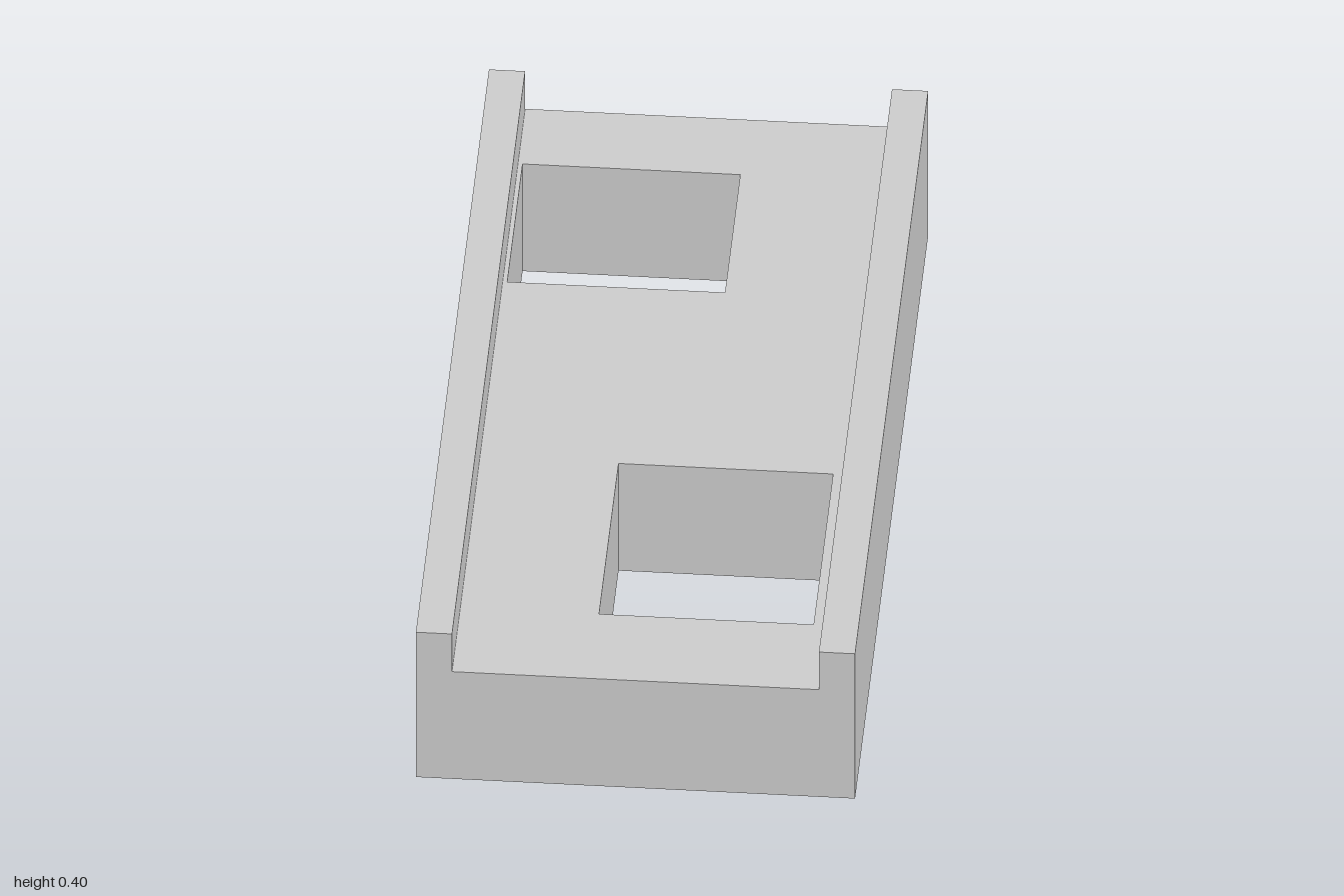
import * as THREE from 'three';

const WIDTH = 0.96, LENGTH = 2, DECK = 0.296, TOP = 0.4, RAIL = 0.079;

// Rectangle in plan, traced in the XY plane with shape y = -z
function tracePlan(path, x0, x1, z0, z1) {
  path.moveTo(x0, -z1);
  path.lineTo(x1, -z1);
  path.lineTo(x1, -z0);
  path.lineTo(x0, -z0);
  path.closePath();
  return path;
}

export function createModel() {
  const group = new THREE.Group();
  group.name = 'railedBlock';
  const material = new THREE.MeshStandardMaterial({ color: 0xcccccc, flatShading: true });

  // Base slab with two rectangular through openings: x0, x1, z0, z1
  const openings = [
    [-0.391, 0.085, -0.805, -0.386],
    [-0.098, 0.371, 0.236, 0.771],
  ];
  const plan = tracePlan(new THREE.Shape(), -WIDTH / 2, WIDTH / 2, -LENGTH / 2, LENGTH / 2);
  for (const o of openings) plan.holes.push(tracePlan(new THREE.Path(), ...o));
  const slabGeometry = new THREE.ExtrudeGeometry(plan, { depth: DECK, bevelEnabled: false });
  slabGeometry.rotateX(-Math.PI / 2);
  const slab = new THREE.Mesh(slabGeometry, material);
  slab.name = 'baseSlab';
  group.add(slab);

  // Raised rails along both long edges
  for (const side of [-1, 1]) {
    const rail = new THREE.Mesh(new THREE.BoxGeometry(RAIL, TOP - DECK, LENGTH), material);
    rail.name = side > 0 ? 'leftRail' : 'rightRail';
    rail.position.set(side * (WIDTH - RAIL) / 2, (DECK + TOP) / 2, 0);
    group.add(rail);
  }
  return group;
}
